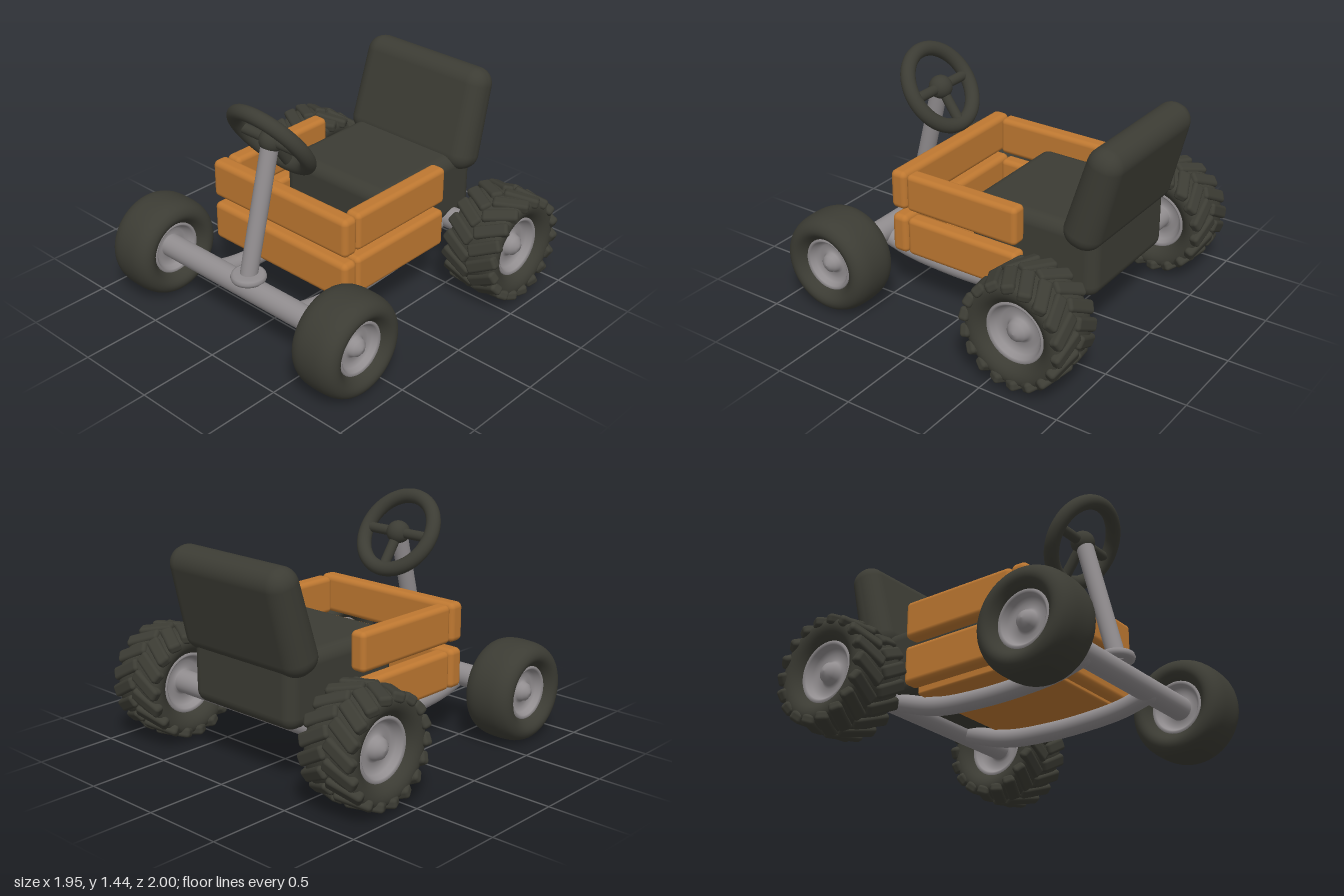
import * as THREE from 'three';
import { RoundedBoxGeometry } from 'three/addons/geometries/RoundedBoxGeometry.js';

const mat = (name, color) => {
  const m = new THREE.MeshStandardMaterial({ color });
  m.name = name;
  return m;
};

export function createModel() {
  const kart = new THREE.Group();
  kart.name = 'pedalKart';
  const rubber = mat('dark rubber', 0x3c3c34);
  const metal = mat('grey metal', 0x918d8f);
  const wood = mat('orange wood', 0xbe7831);

  const add = (name, geo, material, x = 0, y = 0, z = 0, parent = kart) => {
    const m = new THREE.Mesh(geo, material);
    m.name = name;
    m.position.set(x, y, z);
    parent.add(m);
    return m;
  };
  const slab = (w, h, d, r) => new RoundedBoxGeometry(w, h, d, 4, r);
  // Rod between two points
  const rod = (name, a, b, r, material, parent = kart) => {
    const p = new THREE.Vector3(...a), q = new THREE.Vector3(...b);
    const d = q.clone().sub(p);
    const m = add(name, new THREE.CylinderGeometry(r, r, d.length(), 28), material, 0, 0, 0, parent);
    m.position.copy(p).add(q).multiplyScalar(0.5);
    m.quaternion.setFromUnitVectors(new THREE.Vector3(0, 1, 0), d.normalize());
  };
  // Lathe from half a profile (radius, offset), mirrored across the middle, turned onto the x axis
  const wheelLathe = (half, smooth) => {
    let pts = half.map(([r, o]) => new THREE.Vector2(r, -o));
    pts = pts.concat(half.slice().reverse().map(([r, o]) => new THREE.Vector2(r, o)));
    if (smooth) pts = new THREE.SplineCurve(pts).getPoints(44);
    return new THREE.LatheGeometry(pts, 56).rotateZ(-Math.PI / 2);
  };
  const rim = (s) => wheelLathe([[0, 0.125], [0.025, 0.12], [0.05, 0.1], [0.06, 0.07],
    [0.075, 0.06], [0.11, 0.06], [0.13, 0.075], [0.142, 0.105], [0.155, 0.115], [0.168, 0.1]]
    .map(([r, o]) => [r * s, o * s]));

  // Wheels
  const frontTyre = wheelLathe([[0.155, 0.09], [0.172, 0.12], [0.205, 0.152], [0.24, 0.158],
    [0.275, 0.138], [0.297, 0.095], [0.305, 0.04]], true);
  const rearTyre = wheelLathe([[0.175, 0.1], [0.19, 0.13], [0.225, 0.162], [0.265, 0.174],
    [0.3, 0.162], [0.314, 0.12], [0.318, 0.05]], true);
  const frontRim = rim(1), rearRim = rim(1.14);
  const lugGeo = slab(0.215, 0.06, 0.078, 0.02);
  const LUGS = 18;
  for (const s of [-1, 1]) {
    const front = new THREE.Group();
    front.name = s > 0 ? 'frontWheelLeft' : 'frontWheelRight';
    front.position.set(s * 0.75, 0.312, 0.69);
    add('frontTyre', frontTyre, rubber, 0, 0, 0, front);
    add('frontRim', frontRim, metal, 0, 0, 0, front);
    const rear = new THREE.Group();
    rear.name = s > 0 ? 'rearWheelLeft' : 'rearWheelRight';
    rear.position.set(s * 0.773, 0.362, -0.662);
    add('rearTyre', rearTyre, rubber, 0, 0, 0, rear);
    add('rearRim', rearRim, metal, 0, 0, 0, rear);
    // Two staggered rows of slanted tread lugs
    for (const row of [-1, 1]) {
      for (let i = 0; i < LUGS; i++) {
        const spoke = new THREE.Group();
        spoke.name = 'treadLugMount';
        spoke.rotation.x = ((i + (row > 0 ? 0.5 : 0)) / LUGS) * Math.PI * 2;
        const lug = add('treadLug', lugGeo, rubber, row * 0.094, 0.302, 0, spoke);
        lug.rotation.set(0, row * 0.5, -row * 0.09);
        rear.add(spoke);
      }
    }
    kart.add(front, rear);
  }

  // Axles and curved frame tubes
  rod('frontAxle', [-0.72, 0.314, 0.69], [0.72, 0.314, 0.69], 0.072, metal);
  rod('rearAxle', [-0.74, 0.362, -0.662], [0.74, 0.362, -0.662], 0.07, metal);
  for (const s of [-1, 1]) {
    const path = new THREE.CatmullRomCurve3([[0.29, 0.69], [0.243, 0.5], [0.222, 0.25],
      [0.221, 0], [0.25, -0.32], [0.36, -0.66]].map(([y, z]) => new THREE.Vector3(s * 0.33, y, z)));
    add('frameTube', new THREE.TubeGeometry(path, 40, 0.056, 20), metal);
    add('frameTubeEnd', new THREE.SphereGeometry(0.056, 20, 14), metal, s * 0.33, 0.29, 0.69);
  }

  // Wooden tub
  add('floor', slab(0.84, 0.06, 0.79, 0.015), wood, 0, 0.34, -0.005);
  for (const [y, h] of [[0.459, 0.245], [0.745, 0.24]]) {
    add('frontBoard', slab(1.07, h, 0.108, 0.034), wood, 0, y, 0.41);
    for (const s of [-1, 1]) {
      add('sideBoard', slab(0.105, h - 0.006, 0.765, 0.03), wood, s * 0.479, y, -0.03);
    }
  }

  // Seat: cushion and a tilted backrest, thicker at its foot
  add('seatCushion', slab(0.8, 0.425, 0.845, 0.075), rubber, 0, 0.572, -0.424);
  const backGeo = new RoundedBoxGeometry(0.93, 0.64, 0.215, 8, 0.1);
  const p = backGeo.attributes.position;
  for (let i = 0; i < p.count; i++) {
    const t = 0.5 - p.getY(i) / 0.64;
    p.setX(i, p.getX(i) * (0.98 + 0.04 * t));
    p.setZ(i, p.getZ(i) * (0.96 + 0.16 * t));
  }
  const back = add('backrest', backGeo, rubber, 0, 0.985, -0.818);
  back.rotation.x = -0.27;

  // Steering column and collar
  rod('steeringColumn', [0, 0.36, 0.706], [0, 1.18, 0.497], 0.052, metal);
  const collar = [[0, -0.025], [0.085, -0.025], [0.1, -0.018], [0.106, 0], [0.1, 0.018],
    [0.085, 0.025], [0, 0.025]].map(([r, y]) => new THREE.Vector2(r, y));
  add('columnCollar', new THREE.LatheGeometry(collar, 40), metal, 0, 0.398, 0.695);

  // Steering wheel
  const steering = new THREE.Group();
  steering.name = 'steeringWheel';
  steering.position.set(0, 1.195, 0.488);
  steering.rotation.x = 0.62;
  add('steeringRing', new THREE.TorusGeometry(0.248, 0.045, 20, 64), rubber, 0, 0, 0, steering);
  add('steeringHub', new THREE.SphereGeometry(0.072, 28, 20), rubber, 0, 0, 0, steering);
  for (const a of [0, Math.PI, -Math.PI / 2]) {
    rod('steeringSpoke', [0, 0, 0], [Math.cos(a) * 0.248, Math.sin(a) * 0.248, 0], 0.031, rubber, steering);
  }
  kart.add(steering);
  return kart;
}
